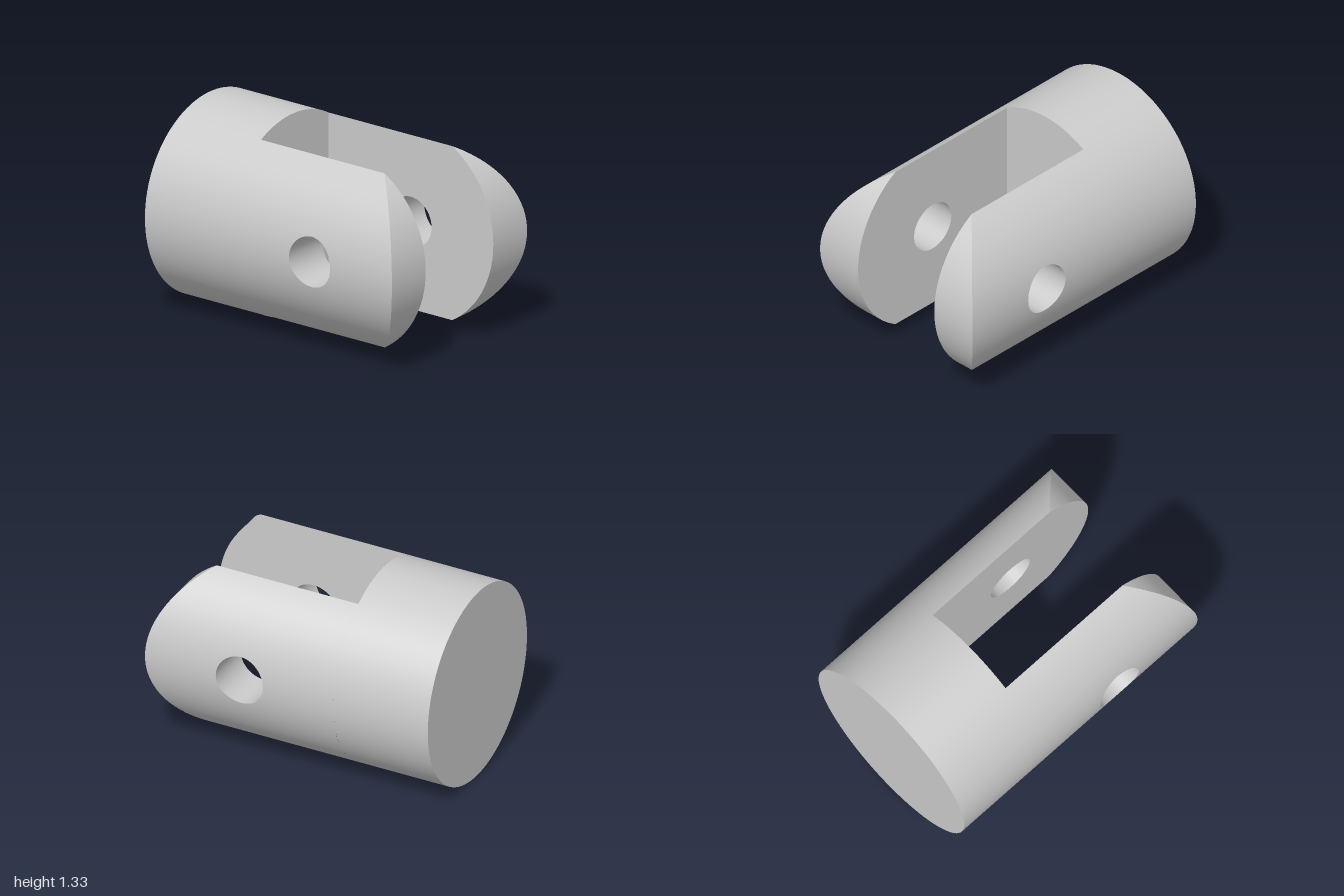
import * as THREE from 'three';
import { mergeGeometries } from 'three/addons/utils/BufferGeometryUtils.js';

const R = 2 / 3;          // barrel radius, also the radius of the rounded ends
const SLOT = 1 / 3;       // half width of the slot
const FLOOR = -1 / 3;     // z of the slot floor
const PIN_Z = 1 / 3;      // z of the pin hole axis
const PIN_R = 1 / 6;
const BACK = -1;

const half = (r, y) => Math.sqrt(Math.max(0, r * r - y * y));
const front = (y) => PIN_Z + half(R, y);
const range = (a, b, n) => Array.from({ length: n + 1 }, (_, i) => a + ((b - a) * i) / n);

// Ruled strip: each row is [start, end, normal]; quads are wound to agree with the normals.
function strip(rows) {
  const pos = [], nor = [], index = [];
  rows.forEach(([a, b, n]) => {
    const u = new THREE.Vector3(...n).normalize().toArray();
    pos.push(...a, ...b);
    nor.push(...u, ...u);
  });
  const at = (i) => new THREE.Vector3().fromArray(pos, i * 3);
  for (let i = 0; i < rows.length - 1; i++) {
    const k = i * 2;
    const across = at(k + 1).add(at(k + 3)).sub(at(k)).sub(at(k + 2));
    const along = at(k + 2).add(at(k + 3)).sub(at(k)).sub(at(k + 1));
    const n = new THREE.Vector3().fromArray(nor, k * 3);
    if (across.cross(along).dot(n) > 0) index.push(k, k + 1, k + 3, k, k + 3, k + 2);
    else index.push(k, k + 3, k + 1, k, k + 2, k + 3);
  }
  const g = new THREE.BufferGeometry();
  g.setAttribute('position', new THREE.Float32BufferAttribute(pos, 3));
  g.setAttribute('normal', new THREE.Float32BufferAttribute(nor, 3));
  g.setIndex(index);
  return g;
}

// One fork arm: flat inside, barrel curve outside, rounded end, pin hole through it.
function armGeometry(side) {
  const middle = range(-Math.PI / 2, Math.PI / 2, 24).map((t) => PIN_R * Math.sin(t));
  const upper = range(Math.asin(PIN_R / R), Math.PI / 3, 20).map((t) => R * Math.sin(t));
  const lower = upper.map((y) => -y).reverse();
  const parts = [];

  const wall = (ys, z0, z1) => {
    parts.push(strip(ys.map((y) => [[side * SLOT, y, z0(y)], [side * SLOT, y, z1(y)], [-side, 0, 0]])));
    parts.push(strip(ys.map((y) => {
      const x = side * half(R, y);
      return [[x, y, z0(y)], [x, y, z1(y)], [x, y, 0]];
    })));
  };
  wall(lower, () => FLOOR, front);
  wall(upper, () => FLOOR, front);
  wall(middle, () => FLOOR, (y) => PIN_Z - half(PIN_R, y));
  wall(middle, (y) => PIN_Z + half(PIN_R, y), front);

  // Rounded end
  parts.push(strip([...lower, ...middle.slice(1, -1), ...upper].map((y) =>
    [[side * SLOT, y, front(y)], [side * half(R, y), y, front(y)], [0, y, front(y) - PIN_Z]])));

  // Pin hole wall
  parts.push(strip(range(-Math.PI / 2, Math.PI * 1.5, 48).map((t) => {
    const y = PIN_R * Math.sin(t), z = PIN_Z + PIN_R * Math.cos(t);
    return [[side * SLOT, y, z], [side * half(R, y), y, z], [0, -Math.sin(t), -Math.cos(t)]];
  })));
  return mergeGeometries(parts);
}

export function createModel() {
  const model = new THREE.Group();
  model.name = 'clevis';
  const material = new THREE.MeshStandardMaterial({ color: 0xcccccc });
  const add = (name, geometry) => {
    const mesh = new THREE.Mesh(geometry.translate(0, R, 0), material);
    mesh.name = name;
    model.add(mesh);
  };

  // Solid barrel behind the fork
  add('barrel', new THREE.CylinderGeometry(R, R, FLOOR - BACK, 96, 1, true)
    .rotateX(Math.PI / 2).translate(0, 0, (FLOOR + BACK) / 2));
  add('backFace', new THREE.CircleGeometry(R, 96).rotateY(Math.PI).translate(0, 0, BACK));

  // Slot floor between the arms
  const floor = new THREE.Shape();
  floor.absarc(0, 0, R, Math.PI / 3, (Math.PI * 2) / 3, false);
  floor.absarc(0, 0, R, (Math.PI * 4) / 3, (Math.PI * 5) / 3, false);
  floor.closePath();
  add('slotFloor', new THREE.ShapeGeometry(floor, 16).translate(0, 0, FLOOR));

  add('leftArm', armGeometry(1));
  add('rightArm', armGeometry(-1));
  return model;
}
